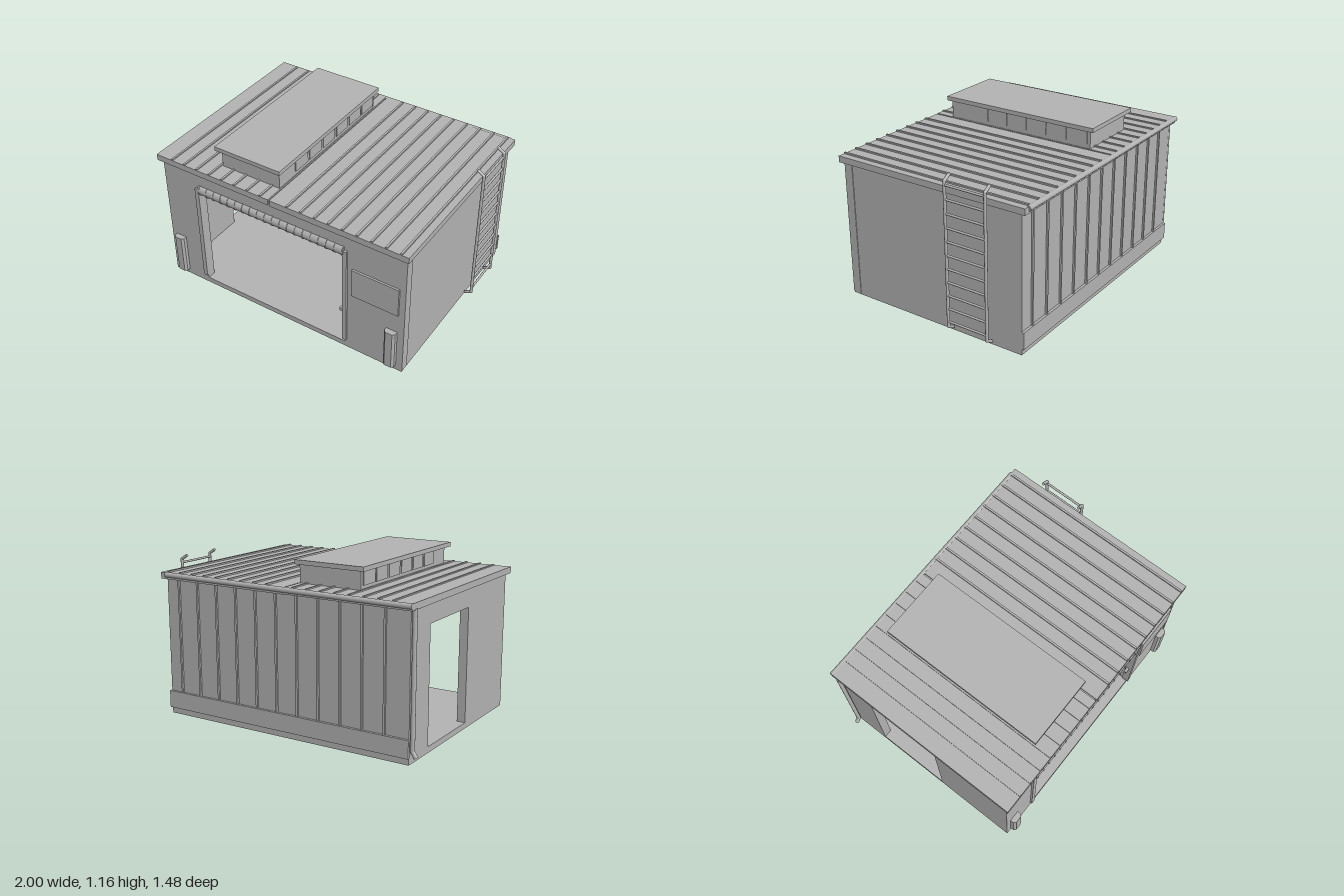
import * as THREE from 'three';

export function createModel() {
  const root = new THREE.Group();
  root.name = 'shed';
  const grey = new THREE.MeshStandardMaterial({ color: 0xb3b3b3 });
  grey.name = 'plain grey';

  const add = (name, geo, parent = root) => {
    const m = new THREE.Mesh(geo, grey);
    m.name = name;
    parent.add(m);
    return m;
  };
  const group = (name) => {
    const g = new THREE.Group();
    g.name = name;
    root.add(g);
    return g;
  };
  // box given by its limits on each axis
  const box = (name, x0, x1, y0, y1, z0, z1, parent) => {
    const m = add(name, new THREE.BoxGeometry(x1 - x0, y1 - y0, z1 - z0), parent);
    m.position.set((x0 + x1) / 2, (y0 + y1) / 2, (z0 + z1) / 2);
    return m;
  };
  // round bar between two points
  const bar = (name, a, b, r, parent, sides = 12) => {
    const p = new THREE.Vector3(...a), q = new THREE.Vector3(...b), d = q.clone().sub(p);
    const m = add(name, new THREE.CylinderGeometry(r, r, d.length(), sides), parent);
    m.position.copy(p).add(q).multiplyScalar(0.5);
    m.quaternion.setFromUnitVectors(new THREE.Vector3(0, 1, 0), d.normalize());
    return m;
  };
  // bent pipe of straight runs with ball joints
  const pipe = (name, pts, r, parent) => {
    for (let i = 1; i < pts.length; i++) bar(name, pts[i - 1], pts[i], r, parent);
    for (let i = 1; i < pts.length - 1; i++) {
      add(name + 'Joint', new THREE.SphereGeometry(r, 12, 8), parent).position.set(...pts[i]);
    }
  };

  // floor and walls
  const L = -0.945, R = 0.93, F = 0.695, B = -0.69, T = 0.965;
  box('floor', L, R, 0, 0.04, B, F);
  const walls = group('walls');
  box('frontWallRight', L, -0.65, 0.04, T, 0.635, F, walls);
  box('frontWallLeft', 0.5, R, 0.04, T, 0.635, F, walls);
  box('frontLintel', -0.65, 0.5, 0.83, T, 0.635, F, walls);
  box('backWall', L, R, 0.04, T, B, -0.63, walls);
  box('leftWall', R - 0.06, R, 0.04, T, -0.63, 0.635, walls);
  box('rightWallBack', L, L + 0.06, 0.04, T, -0.63, -0.44, walls);
  box('rightWallFront', L, L + 0.06, 0.04, T, 0.1, 0.635, walls);
  box('rightDoorLintel', L, L + 0.06, 0.83, T, -0.44, 0.1, walls);
  box('cornerTrim', R - 0.02, R + 0.004, 0.01, T, 0.635, F + 0.003, walls);

  // back cladding ribs and kick board
  const back = group('backCladding');
  for (let i = 0; i < 11; i++) {
    const x = 0.825 - 0.16 * i;
    box('backRib', x - 0.007, x + 0.007, 0.16, T, B - 0.012, B, back);
  }
  box('kickBoard', L - 0.005, R + 0.005, 0.045, 0.165, B - 0.018, B, back);

  // two roof panels with standing seams
  const roof = group('roof');
  box('roofPanelRight', -0.97, -0.06, 0.962, 1.006, -0.725, 0.725, roof);
  box('roofPanelLeft', -0.05, 0.955, 0.96, 1.004, -0.725, 0.725, roof);
  box('roofJoint', -0.06, -0.05, 0.962, 0.995, -0.725, 0.715, roof);
  for (let i = 0; i < 18; i++) {
    const x = -0.84 + 0.1024 * i;
    if (i === 8) continue;
    box('roofSeam', x - 0.007, x + 0.007, 1.0, 1.014, -0.715, 0.723, roof);
  }

  // gutter along the back and its downpipe
  bar('gutter', [-0.97, 0.99, -0.722], [0.915, 0.99, -0.722], 0.018);
  const down = group('downpipe');
  pipe('downpipe', [[-0.962, 0.97, -0.675], [-0.962, 0.09, -0.675], [-0.987, 0.05, -0.675]], 0.015, down);

  // roof light with side panes
  const light = group('roofLight');
  box('roofLightBody', -0.52, -0.065, 1.0, 1.13, -0.55, 0.588, light);
  box('roofLightCap', -0.555, -0.042, 1.13, 1.16, -0.58, 0.617, light);
  for (let i = 0; i < 6; i++) {
    const z = 0.345 - 0.1605 * i;
    for (const x of [-0.522, -0.063]) {
      box('roofLightPane', x - 0.004, x + 0.004, 1.033, 1.125, z - 0.07, z + 0.07, light);
    }
  }

  // rolled shutter and guide rails
  const shutter = group('shutter');
  bar('shutterRoll', [-0.655, 0.82, 0.675], [0.49, 0.82, 0.675], 0.041, shutter, 24);
  for (let i = 0; i < 20; i++) {
    const x = -0.645 + 0.0592 * i;
    bar('shutterBand', [x - 0.004, 0.82, 0.675], [x + 0.004, 0.82, 0.675], 0.045, shutter, 24);
  }
  box('railRight', -0.68, -0.648, 0.07, 0.83, 0.66, 0.71, shutter);
  box('railLeft', 0.484, 0.514, 0.07, 0.83, 0.66, 0.71, shutter);
  box('shutterHandle', 0.45, 0.486, 0.295, 0.32, 0.67, 0.69, shutter);

  // boards on the front wall and the inner back wall
  box('frontBoard', 0.55, 0.89, 0.487, 0.702, F, F + 0.014);
  box('innerBoard', -0.71, -0.37, 0.475, 0.682, -0.63, -0.618);

  // bollards with chamfered corners
  for (const x of [-0.865, 0.845]) {
    const s = new THREE.Shape();
    s.moveTo(x - 0.04, -0.69);
    s.lineTo(x - 0.04, -0.72);
    s.lineTo(x - 0.025, -0.735);
    s.lineTo(x + 0.025, -0.735);
    s.lineTo(x + 0.04, -0.72);
    s.lineTo(x + 0.04, -0.69);
    const g = new THREE.ExtrudeGeometry(s, { depth: 0.295, bevelEnabled: false });
    g.rotateX(-Math.PI / 2).translate(0, 0.04, 0);
    add('bollard', g);
  }

  // roller bench inside
  const bench = group('rollerBench');
  box('benchTop', -0.69, 0.18, 0.198, 0.24, -0.53, -0.16, bench);
  for (let i = 0; i < 13; i++) {
    const x = -0.66 + 0.0665 * i;
    bar('roller', [x, 0.235, -0.515], [x, 0.235, -0.175], 0.02, bench);
  }
  for (const x of [-0.615, 0.115]) {
    for (const z of [-0.495, -0.195]) {
      box('benchLeg', x - 0.013, x + 0.013, 0.04, 0.2, z - 0.013, z + 0.013, bench);
    }
  }

  // roof ladder on the left wall
  const ladder = group('ladder');
  for (const z of [-0.17, -0.47]) {
    pipe('ladderRail', [[0.942, 1.085, z], [0.989, 1.055, z], [0.989, 0.055, z], [0.942, 0.03, z]], 0.0105, ladder);
  }
  for (let i = 0; i < 11; i++) {
    const y = 0.092 + 0.0938 * i;
    bar('rung', [0.989, y, -0.17], [0.989, y, -0.47], 0.008, ladder);
  }
  return root;
}
